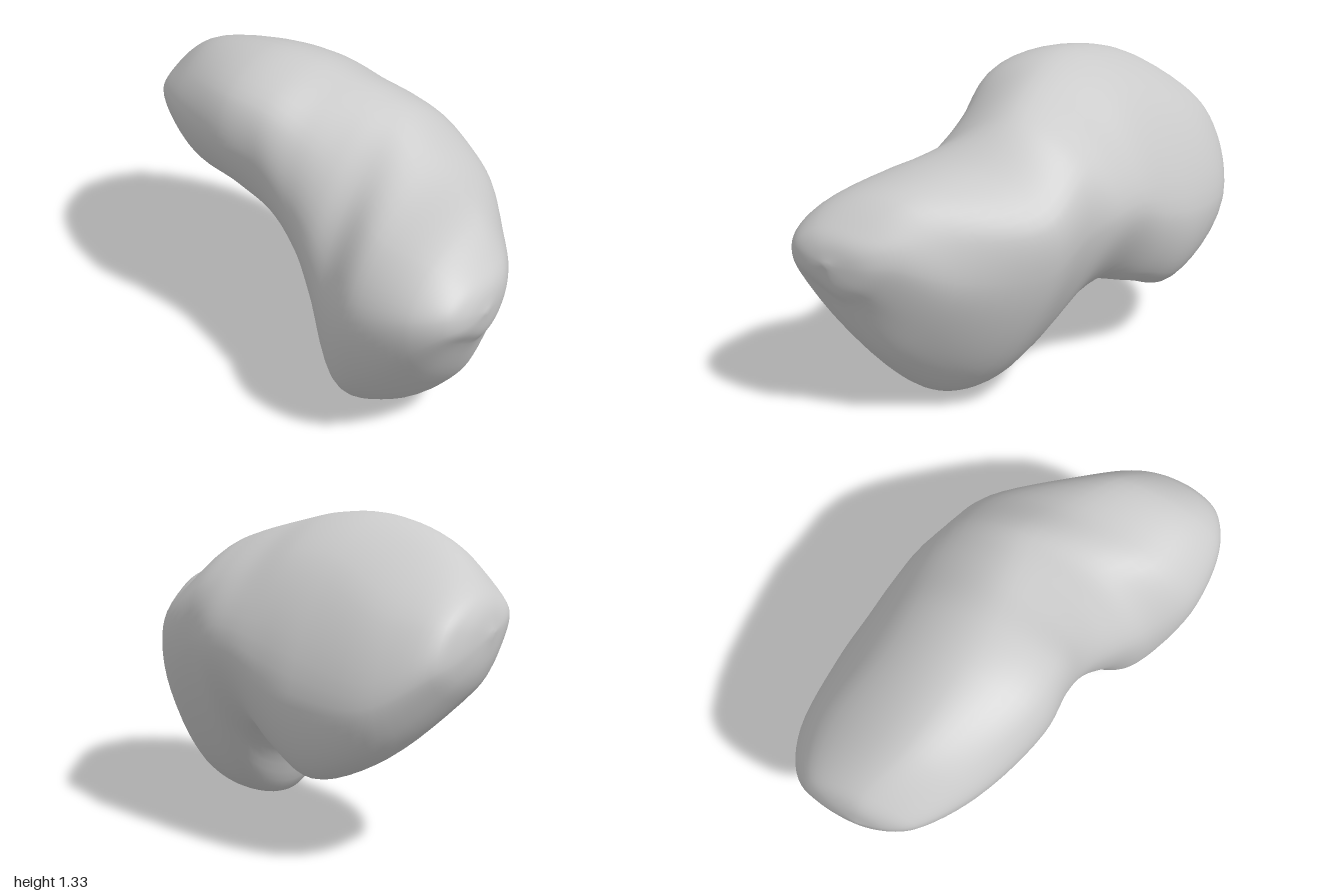
import * as THREE from 'three';
import { mergeVertices } from 'three/addons/utils/BufferGeometryUtils.js';

// Cross-sections along x: [x, then nine (z, y) pairs running top, top front,
// front, lower front, underside, bottom, lower back, back, top back]
const rightArm = [
  [-0.92, -0.2, 1.08, -0.06, 1.05, 0.04, 0.97, -0.05, 0.8, -0.18, 0.69, -0.3, 0.66, -0.43, 0.69, -0.51, 0.78, -0.43, 0.96],
  [-0.7, -0.1, 1.23, 0.11, 1.15, 0.205, 1.0, 0.08, 0.73, -0.2, 0.57, -0.46, 0.43, -0.58, 0.48, -0.64, 0.65, -0.48, 1.0],
  [-0.36, -0.04, 1.318, 0.26, 1.21, 0.33, 1.0, 0.19, 0.74, -0.15, 0.57, -0.46, 0.3, -0.57, 0.37, -0.64, 0.67, -0.39, 1.14],
  [-0.15, -0.04, 1.315, 0.27, 1.2, 0.335, 0.97, 0.21, 0.67, -0.1, 0.51, -0.4, 0.37, -0.51, 0.43, -0.6, 0.72, -0.38, 1.15],
];
const leftArm = [
  [0.03, -0.05, 1.275, 0.25, 1.12, 0.355, 0.82, 0.27, 0.55, 0.08, 0.42, -0.2, 0.4, -0.41, 0.48, -0.56, 0.78, -0.39, 1.1],
  [0.19, -0.07, 1.23, 0.25, 1.05, 0.43, 0.72, 0.37, 0.4, 0.2, 0.27, 0, 0.25, -0.27, 0.37, -0.52, 0.78, -0.4, 1.06],
  [0.33, -0.09, 1.175, 0.28, 0.99, 0.51, 0.64, 0.46, 0.2, 0.31, 0.03, 0.13, 0.01, -0.15, 0.17, -0.45, 0.74, -0.4, 1.0],
  [0.54, -0.01, 1.04, 0.43, 0.94, 0.62, 0.69, 0.57, 0.36, 0.38, 0.12, 0.14, 0.03, -0.12, 0.17, -0.36, 0.62, -0.35, 0.87],
  [0.8, 0.13, 0.97, 0.46, 0.92, 0.62, 0.76, 0.6, 0.58, 0.42, 0.38, 0.2, 0.28, 0.03, 0.41, -0.1, 0.65, -0.04, 0.85],
  [0.93, 0.24, 0.875, 0.44, 0.86, 0.55, 0.78, 0.55, 0.69, 0.43, 0.6, 0.31, 0.55, 0.18, 0.6, 0.1, 0.73, 0.13, 0.82],
];
const rightTip = new THREE.Vector3(-1, 0.91, -0.2);
const leftTip = new THREE.Vector3(1, 0.74, 0.36);
const POINTS = 9;

const toRing = ([x, ...zy]) =>
  Array.from({ length: POINTS }, (_, k) => new THREE.Vector3(x, zy[2 * k + 1], zy[2 * k]));

// A smaller ring near a tip, so the end is rounded rather than pointed
const roundOff = (ring, tip) => ring.map((p) => {
  const q = p.clone().lerp(tip, 0.4);
  q.x = THREE.MathUtils.lerp(p.x, tip.x, 0.66);
  return q;
});

function bodyGeometry(rows = 78, around = 63) {
  const rings = [...rightArm, ...leftArm].map(toRing);
  rings.unshift(roundOff(rings[0], rightTip));
  rings.push(roundOff(rings[rings.length - 1], leftTip));
  rings.unshift(Array(POINTS).fill(rightTip));
  rings.push(Array(POINTS).fill(leftTip));

  // Lengthwise rails, crossed by closed smooth loops
  const rails = rings[0].map((_, k) => new THREE.CatmullRomCurve3(rings.map((r) => r[k])));
  const positions = [];
  const index = [];
  for (let i = 0; i <= rows; i++) {
    const end = i === 0 ? rightTip : i === rows ? leftTip : null;
    const loop = end ? null : new THREE.CatmullRomCurve3(rails.map((r) => r.getPoint(i / rows)), true);
    for (let j = 0; j < around; j++) {
      const p = end || loop.getPoint(j / around);
      positions.push(p.x, p.y, p.z);
      if (i === rows) continue;
      const a = i * around + j;
      const b = i * around + ((j + 1) % around);
      const c = a + around;
      const d = b + around;
      if (i > 0) index.push(a, b, c);
      if (i < rows - 1) index.push(b, d, c);
    }
  }
  const geometry = new THREE.BufferGeometry();
  geometry.setAttribute('position', new THREE.Float32BufferAttribute(positions, 3));
  geometry.setIndex(index);
  const merged = mergeVertices(geometry);
  merged.computeVertexNormals();
  return merged;
}

export function createModel() {
  const group = new THREE.Group();
  group.name = 'curvedStone';
  const body = new THREE.Mesh(bodyGeometry(), new THREE.MeshStandardMaterial({ color: 0xcccccc }));
  body.name = 'archedBody';
  group.add(body);
  return group;
}
